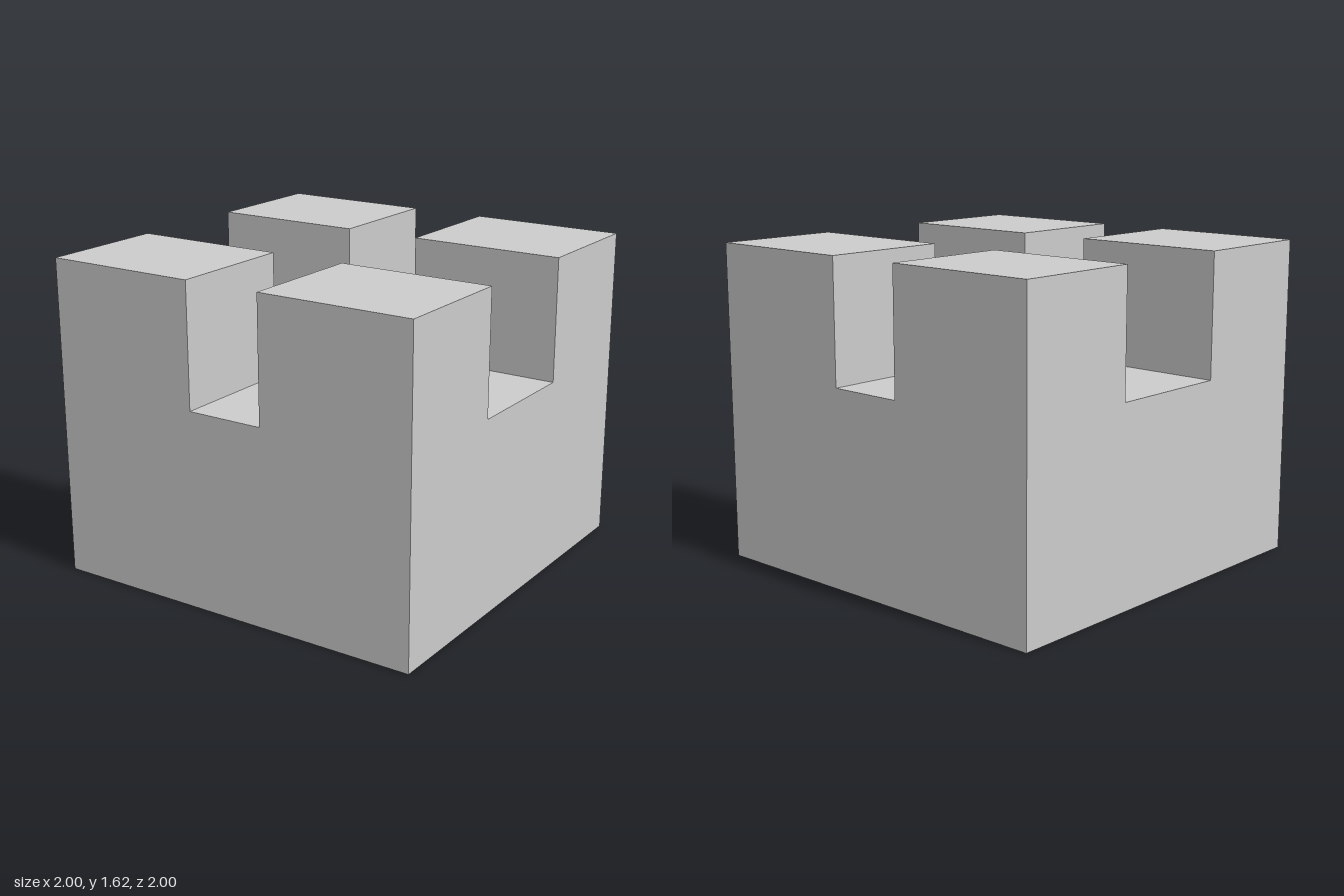
import * as THREE from 'three';
import { mergeGeometries } from 'three/addons/utils/BufferGeometryUtils.js';

const HALF = 1;        // half width and depth of the block
const HEIGHT = 1.625;  // top of the corner towers
const FLOOR = 1;       // bottom of the crossing channels
const GAP_X = 0.2;     // half width of the channel running front to back
const GAP_Z = 0.333;   // half width of the channel running side to side

const shapeOf = (pts) => new THREE.ShapeGeometry(new THREE.Shape(pts.map(([x, y]) => new THREE.Vector2(x, y))));

// Outer wall with a notch of the given half width, turned to its side
const wall = (gap, turn) => shapeOf([
  [-HALF, 0], [HALF, 0], [HALF, HEIGHT], [gap, HEIGHT],
  [gap, FLOOR], [-gap, FLOOR], [-gap, HEIGHT], [-HALF, HEIGHT],
]).translate(0, 0, HALF).rotateY(turn);

export function createModel() {
  const faces = [];

  // Four notched outer walls
  for (let i = 0; i < 4; i++) faces.push(wall(i % 2 ? GAP_Z : GAP_X, i * Math.PI / 2));

  // Underside
  faces.push(new THREE.PlaneGeometry(2 * HALF, 2 * HALF).rotateX(Math.PI / 2));

  // Cross-shaped channel floor
  faces.push(shapeOf([
    [-GAP_X, -HALF], [GAP_X, -HALF], [GAP_X, -GAP_Z], [HALF, -GAP_Z],
    [HALF, GAP_Z], [GAP_X, GAP_Z], [GAP_X, HALF], [-GAP_X, HALF],
    [-GAP_X, GAP_Z], [-HALF, GAP_Z], [-HALF, -GAP_Z], [-GAP_X, -GAP_Z],
  ]).rotateX(-Math.PI / 2).translate(0, FLOOR, 0));

  // Corner towers: the top and the two channel-facing sides of each
  const w = HALF - GAP_X, d = HALF - GAP_Z, h = HEIGHT - FLOOR;
  const midY = FLOOR + h / 2;
  for (const sx of [-1, 1]) {
    for (const sz of [-1, 1]) {
      const cx = sx * (GAP_X + w / 2), cz = sz * (GAP_Z + d / 2);
      faces.push(
        new THREE.PlaneGeometry(w, d).rotateX(-Math.PI / 2).translate(cx, HEIGHT, cz),
        new THREE.PlaneGeometry(d, h).rotateY(-sx * Math.PI / 2).translate(sx * GAP_X, midY, cz),
        new THREE.PlaneGeometry(w, h).rotateY(sz > 0 ? Math.PI : 0).translate(cx, midY, sz * GAP_Z),
      );
    }
  }

  const block = new THREE.Mesh(
    mergeGeometries(faces),
    new THREE.MeshStandardMaterial({ color: 0xcccccc, flatShading: true }),
  );
  block.name = 'notchedBlock';

  const group = new THREE.Group();
  group.name = 'crossChannelBlock';
  group.add(block);
  return group;
}
